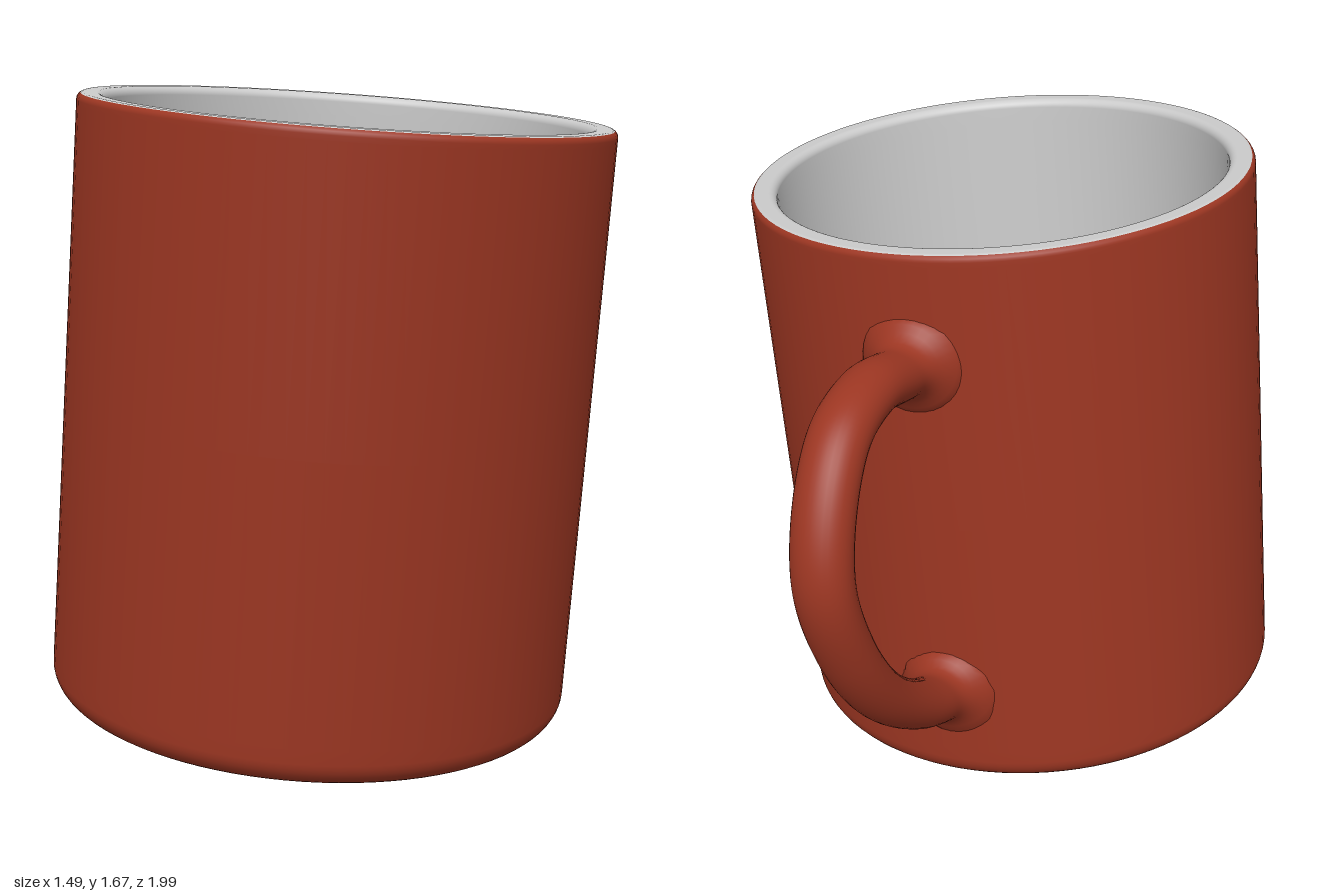
import * as THREE from 'three';

const R = 0.685;      // outer radius
const INNER = 0.615;  // inner radius
const H = 1.557;      // height along the mug's own axis

// Points on a quarter-style arc, angles in degrees
function arc(cx, cy, r, from, to, n = 8) {
  return Array.from({ length: n + 1 }, (_, i) => {
    const a = THREE.MathUtils.degToRad(from + (to - from) * i / n);
    return new THREE.Vector2(cx + r * Math.cos(a), cy + r * Math.sin(a));
  });
}

function lathe(name, points, material) {
  const mesh = new THREE.Mesh(new THREE.LatheGeometry(points, 96), material);
  mesh.name = name;
  return mesh;
}

// Loop handle swept along a path, flaring where it meets the wall
function handleGeometry() {
  const path = new THREE.CatmullRomCurve3([
    [0.58, 1.25], [0.761, 1.272], [0.915, 1.298], [1.078, 1.259], [1.193, 1.127], [1.246, 0.946],
    [1.184, 0.725], [1.055, 0.526], [0.866, 0.368], [0.711, 0.293], [0.58, 0.25],
  ].map(([r, h]) => new THREE.Vector3(0, h, -r)), false, 'centripetal');
  const rings = 140, sides = 32, pos = [], index = [];
  for (let i = 0; i <= rings; i++) {
    const p = path.getPointAt(i / rings), t = path.getTangentAt(i / rings);
    for (let j = 0; j < sides; j++) {
      const a = j / sides * Math.PI * 2, c = Math.cos(a), s = Math.sin(a);
      const place = (extra) => new THREE.Vector3(
        s * (0.078 + extra),
        p.y - t.z * c * (0.066 + extra),
        p.z + t.y * c * (0.066 + extra));
      const base = place(0);
      const dist = Math.hypot(base.x, base.z);
      const k = THREE.MathUtils.clamp(1 - (dist - R) / 0.1, 0, 1);
      const v = place(0.065 * k * k * k);
      // keep the distance from the axis, and stay inside the wall thickness
      const scale = Math.max(dist, 0.645) / Math.hypot(v.x, v.z);
      pos.push(v.x * scale, v.y, v.z * scale);
      if (i < rings) {
        const j2 = (j + 1) % sides, q = i * sides, n = q + sides;
        index.push(q + j, q + j2, n + j2, q + j, n + j2, n + j);
      }
    }
  }
  const g = new THREE.BufferGeometry();
  g.setAttribute('position', new THREE.Float32BufferAttribute(pos, 3));
  g.setIndex(index);
  g.computeVertexNormals();
  return g;
}

export function createModel() {
  const red = new THREE.MeshStandardMaterial({ color: 0x9c3622 });
  const grey = new THREE.MeshStandardMaterial({ color: 0xcccccc });
  const model = new THREE.Group();
  model.name = 'mug';
  const v = (x, y) => new THREE.Vector2(x, y);

  // Glazed outer wall with rounded foot and lip
  model.add(lathe('outerWall', [
    ...arc(R - 0.065, 0.065, 0.065, -85, 0),
    v(R, 0.1), v(R, 0.8), v(R, H - 0.03),
    ...arc(R - 0.018, H - 0.018, 0.018, 0, 60, 4),
  ], red));

  // Unglazed underside
  model.add(lathe('base', [v(0, 0), v(R - 0.06, 0)], grey));

  // Rim, inner wall and floor
  model.add(lathe('innerLining', [
    ...arc(R - 0.018, H - 0.018, 0.018, 60, 90, 3),
    ...arc(INNER + 0.022, H - 0.022, 0.022, 90, 180),
    v(INNER, H - 0.06), v(INNER, 0.8), v(INNER, 0.16),
    ...arc(INNER - 0.04, 0.135, 0.04, 0, -90),
    v(INNER - 0.06, 0.095), v(0, 0.095),
  ], grey));

  // Handle, turned a little to one side
  const handle = new THREE.Mesh(handleGeometry(), red);
  handle.name = 'handle';
  handle.rotation.y = -0.195;
  model.add(handle);

  // The whole mug leans slightly
  const up = new THREE.Vector3(0.087, 1, 0.03).normalize();
  model.quaternion.setFromUnitVectors(new THREE.Vector3(0, 1, 0), up);
  model.position.set(-0.071, 0.06, 0.26);

  const root = new THREE.Group();
  root.name = 'leaningMug';
  root.add(model);
  return root;
}
